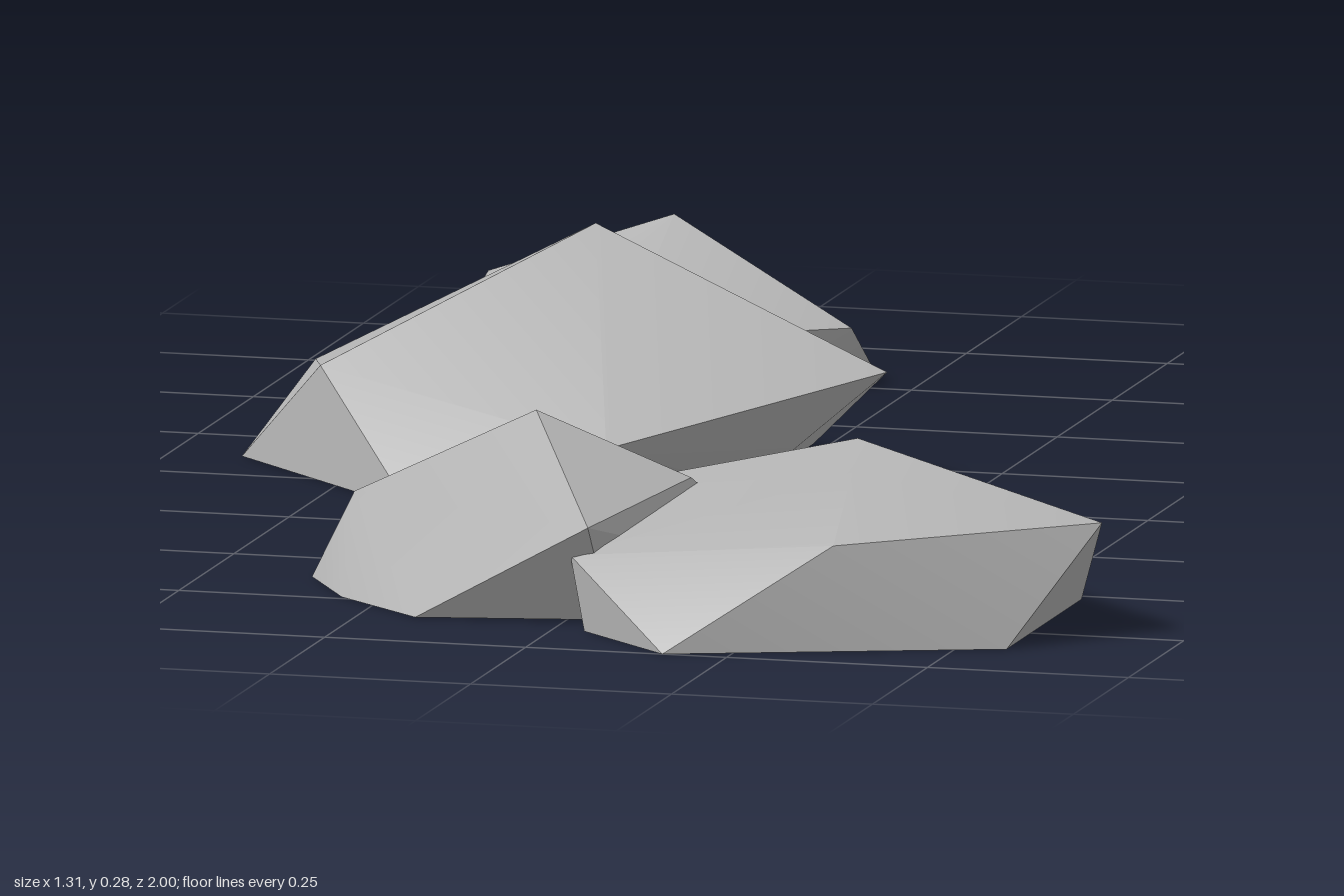
import * as THREE from 'three';
import { ConvexGeometry } from 'three/addons/geometries/ConvexGeometry.js';
import { toCreasedNormals } from 'three/addons/utils/BufferGeometryUtils.js';

// Each boulder is the hull of a ring on the ground [x, z] and shoulder/peak points [x, y, z].
const boulders = {
  backBoulder: {
    ground: [[-0.42, -0.56], [-0.53, -0.61], [-0.56, -0.73], [-0.44, -1], [-0.25, -0.93], [-0.07, -0.845], [-0.17, -0.69]],
    upper: [[-0.31, 0.19, -0.805], [-0.555, 0.1, -0.855], [-0.07, 0.075, -0.735],
      [-0.31, 0.08, -0.56], [-0.545, 0.05, -0.6], [-0.24, 0.07, -0.91]],
  },
  middleBoulder: {
    ground: [[-0.66, -0.12], [-0.375, 0.16], [-0.02, -0.08], [-0.02, -0.38], [-0.34, -0.405]],
    upper: [[-0.25, 0.285, -0.23], [-0.63, 0.08, -0.345], [-0.535, 0.135, -0.02],
      [-0.13, 0.085, 0.16], [0.14, 0.14, -0.13], [-0.2, 0.115, -0.385]],
  },
  frontRightBoulder: {
    ground: [[-0.37, 0.62], [-0.3, 0.74], [-0.18, 0.845], [0.05, 0.8], [0.2, 0.46], [-0.12, 0.385], [-0.32, 0.54]],
    upper: [[-0.08, 0.225, 0.66], [-0.32, 0.105, 0.61], [-0.22, 0.08, 0.48],
      [0, 0.07, 0.405], [0.05, 0.13, 0.9], [0.11, 0.15, 0.65]],
  },
  frontLeftBoulder: {
    ground: [[0.17, 1], [0.56, 0.86], [0.56, 0.52], [0.12, 0.58], [0.04, 0.88]],
    upper: [[0.32, 0.21, 0.66], [0.345, 0.19, 0.775], [0.65, 0.14, 0.755], [0.365, 0.13, 0.935],
      [0.43, 0.08, 0.46], [0.05, 0.13, 0.52], [0.02, 0.09, 0.87]],
  },
};

export function createModel() {
  const model = new THREE.Group();
  model.name = 'boulders';
  const stone = new THREE.MeshStandardMaterial({ color: 0xb2b2b2 });
  stone.name = 'grey stone';

  for (const [name, { ground, upper }] of Object.entries(boulders)) {
    const points = [
      ...ground.map(([x, z]) => new THREE.Vector3(x, 0, z)),
      ...upper.map((p) => new THREE.Vector3(...p)),
    ];
    // Soft stone faces with sharp ridges
    const geometry = toCreasedNormals(new ConvexGeometry(points), THREE.MathUtils.degToRad(32));
    const mesh = new THREE.Mesh(geometry, stone);
    mesh.name = name;
    model.add(mesh);
  }
  return model;
}
